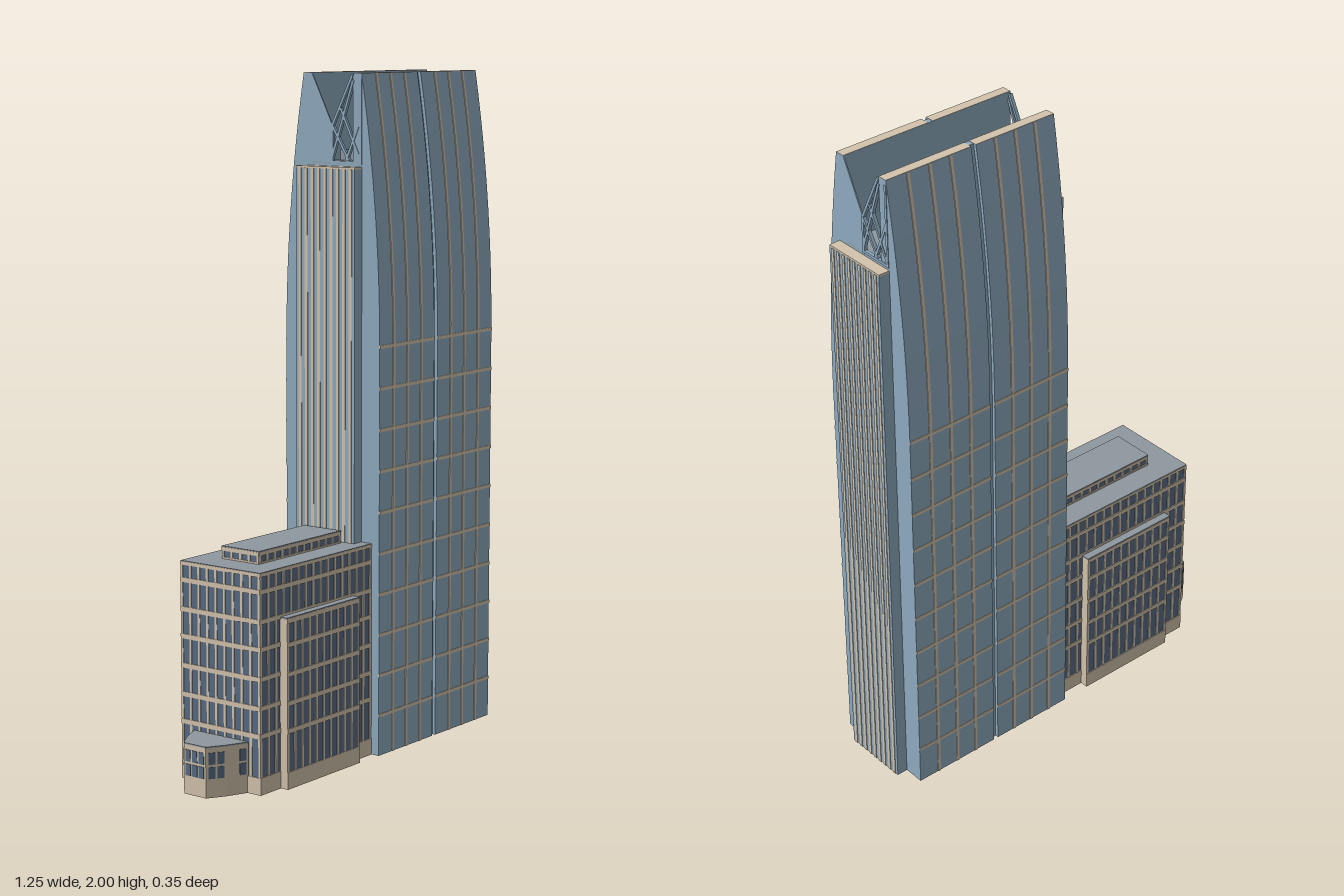
import * as THREE from 'three';

const mat = (name, color) => {
  const m = new THREE.MeshStandardMaterial({ color });
  m.name = name;
  return m;
};

export function createModel() {
  const glass = mat('blue glass', 0x8fabc0);
  const stone = mat('beige stone', 0xd2c3ac);
  const darkGlass = mat('dark glass', 0x586b84);
  const roofGrey = mat('roof grey', 0x8e979f);

  const model = new THREE.Group();
  const group = (name, parent = model) => {
    const g = new THREE.Group();
    g.name = name;
    parent.add(g);
    return g;
  };
  const add = (parent, name, geo, m) => {
    const mesh = new THREE.Mesh(geo, m);
    mesh.name = name;
    parent.add(mesh);
    return mesh;
  };
  // Box given by its limits
  const box = (parent, name, m, x0, x1, y0, y1, z0, z1) => {
    const mesh = add(parent, name, new THREE.BoxGeometry(x1 - x0, y1 - y0, z1 - z0), m);
    mesh.position.set((x0 + x1) / 2, (y0 + y1) / 2, (z0 + z1) / 2);
    return mesh;
  };
  // Outline in (z, y) extruded from x0 to x1
  const slab = (parent, name, m, pts, x0, x1) => {
    const shape = new THREE.Shape(pts.map(([z, y]) => new THREE.Vector2(-z, y)));
    const geo = new THREE.ExtrudeGeometry(shape, { depth: x1 - x0, bevelEnabled: false });
    geo.rotateY(Math.PI / 2).translate(x0, 0, 0);
    return add(parent, name, geo, m);
  };

  // ---- Tower: straight sides that curve inward above y = 1.2
  const X0 = 0.01, X1 = 0.585, MID = 0.291, ROOF = 1.74, TOP = 2, FIN = 0.075;
  const curve = (offset) => {
    const pts = [[0.172 + offset, 0]];
    for (let i = 0; i <= 14; i++) {
      const t = i / 14;
      pts.push([0.172 - 0.067 * t * t + offset, 1.2 + 0.8 * t]);
    }
    return pts;
  };
  const section = (offset) => {
    const half = [...curve(offset), [FIN, TOP], [FIN, ROOF]];
    return [...half, ...half.map(([z, y]) => [-z, y]).reverse()];
  };
  const tower = group('tower');
  const halves = [[X0, MID - 0.008], [MID + 0.008, X1]];
  halves.forEach(([a, b]) => slab(tower, 'towerHalf', glass, section(0), a, b));
  slab(tower, 'centreGroove', glass, section(-0.01), MID - 0.008, MID + 0.008);

  for (const s of [1, -1]) {
    // Vertical mullions that follow the curve
    const rib = [...curve(0.002), ...curve(-0.002).reverse()].map(([z, y]) => [z * s, y]);
    for (const x of [0.079, 0.148, 0.217, 0.37, 0.44, 0.513]) {
      slab(tower, 'towerMullion', stone, rib, x - 0.005, x + 0.005);
    }
    for (const [a, b] of halves) {
      for (let i = 1; i <= 10; i++) {
        const y = i * 0.1217, z = s * 0.172;
        box(tower, 'floorBand', stone, a, b, y - 0.005, y + 0.005, z - 0.002, z + 0.002);
      }
      const zc = s * 0.09;
      box(tower, 'finCap', stone, a, b, TOP - 0.003, TOP + 0.001, zc - 0.0148, zc + 0.0148);
    }
  }
  box(tower, 'towerRoof', roofGrey, X0, X1, ROOF, ROOF + 0.004, -FIN, FIN);
  box(tower, 'roofPlant', roofGrey, 0.12, 0.475, ROOF, ROOF + 0.035, -0.055, 0.055);

  // ---- Crown ends: a solid panel on one half, an open lattice on the other
  const bars = [
    [0, 1.85, 0.072, 1.995], [0, ROOF, 0, 1.85], [0.102, ROOF, 0.102, 1.985],
    [0, 1.745, 0.102, 1.745], [0, 1.76, 0.075, 1.98], [0.102, 1.75, 0.03, 1.9],
    [0, 1.85, 0.06, 1.75], [0.05, 1.75, 0.102, 1.87],
  ];
  for (const s of [1, -1]) {
    const crown = group('crownEnd', tower);
    const xe = s > 0 ? X1 : X0;
    slab(crown, 'crownPanel', glass,
      [[0, ROOF], [0, 1.85], [FIN * s, TOP], [FIN * s, ROOF]], xe - (s > 0 ? 0.004 : 0), xe + (s > 0 ? 0 : 0.004));
    for (const [za, ya, zb, yb] of bars) {
      const len = Math.hypot(zb - za, yb - ya);
      const bar = add(crown, 'latticeBar', new THREE.BoxGeometry(0.01, len, 0.008), glass);
      bar.position.set(xe - s * 0.003, (ya + yb) / 2, -s * (za + zb) / 2);
      bar.rotation.x = Math.atan2(-s * (zb - za), yb - ya);
    }
  }

  // ---- Striped bays on both ends of the tower
  for (const [a, b, face] of [[-0.025, X0, -0.025], [X1, 0.62, 0.62]]) {
    const bay = group('endBay');
    box(bay, 'bayBody', glass, a, b, 0, 1.727, -0.107, 0.107);
    box(bay, 'bayRoof', stone, a, b, 1.727, 1.733, -0.107, 0.107);
    for (let i = 0; i < 9; i++) {
      const z = -0.092 + i * 0.023;
      box(bay, 'bayStripe', stone, face - 0.002, face + 0.002, 0, 1.727, z - 0.005, z + 0.005);
    }
  }

  // ---- Low wing
  // Bands and mullions on a wall of given width, facing +z before turning
  const facade = (parent, x, z, turn, width, y0, y1, bands, cols) => {
    const g = group('facade', parent);
    g.position.set(x, 0, z);
    g.rotation.y = turn;
    const w = width / 2;
    for (const [a, b] of bands) box(g, 'wallBand', stone, -w, w, a, b, -0.003, 0.003);
    for (let i = 0; i <= cols; i++) {
      const c = -w + 0.004 + (i * (width - 0.008)) / cols;
      box(g, 'wallMullion', stone, c - 0.004, c + 0.004, y0, y1, -0.002, 0.002);
    }
  };
  const floors = [0.169, 0.249, 0.333, 0.418, 0.497, 0.582].map((y) => [y - 0.007, y + 0.007]);
  const wingBands = [[0, 0.05], ...floors, [0.625, 0.635]];
  const bayBands = [[0, 0.05], ...floors.slice(0, 4), [0.48, 0.494]];

  const wing = group('lowWing');
  box(wing, 'wingBody', darkGlass, -0.507, X0, 0, 0.633, -0.143, 0.143);
  box(wing, 'wingRoof', roofGrey, -0.509, X0, 0.633, 0.637, -0.145, 0.145);
  facade(wing, -0.507, 0, -Math.PI / 2, 0.29, 0, 0.635, wingBands, 9);
  facade(wing, X0 - 0.001, 0, Math.PI / 2, 0.29, 0, 0.635, wingBands, 9);
  box(wing, 'projectionBody', darkGlass, -0.417, -0.083, 0, 0.492, -0.168, 0.168);
  box(wing, 'projectionRoof', roofGrey, -0.42, -0.08, 0.492, 0.497, -0.17, 0.17);
  for (const s of [1, -1]) {
    const turn = s > 0 ? 0 : Math.PI;
    facade(wing, -0.25, s * 0.143, turn, 0.518, 0, 0.635, wingBands, 15);
    facade(wing, -0.25, s * 0.168, turn, 0.338, 0, 0.494, bayBands, 10);
    for (const x of [-0.417, -0.083]) {
      box(wing, 'projectionCorner', stone, x - 0.002, x + 0.002, 0, 0.494, s * 0.157 - 0.013, s * 0.157 + 0.013);
    }
  }

  // Rooftop storey of the wing
  const storey = group('wingRooftop', wing);
  const storeyBands = [[0.635, 0.642], [0.66, 0.671]];
  box(storey, 'storeyBody', darkGlass, -0.416, -0.04, 0.635, 0.67, -0.066, 0.066);
  box(storey, 'storeyRoof', roofGrey, -0.418, -0.038, 0.67, 0.674, -0.068, 0.068);
  for (const s of [1, -1]) {
    facade(storey, -0.228, s * 0.066, s > 0 ? 0 : Math.PI, 0.378, 0.635, 0.67, storeyBands, 11);
    facade(storey, -0.228 + s * 0.188, 0, (s * Math.PI) / 2, 0.134, 0.635, 0.67, storeyBands, 4);
  }

  // ---- Tapered entrance pavilion
  const pavilion = group('pavilion');
  const side = [[-0.507, 0.1], [-0.572, 0.071], [-0.622, 0.04]];
  const outline = [...side, ...side.map(([x, z]) => [x, -z]).reverse()];
  const prism = (name, m, y0, y1) => {
    const shape = new THREE.Shape(outline.map(([x, z]) => new THREE.Vector2(x, -z)));
    const geo = new THREE.ExtrudeGeometry(shape, { depth: y1 - y0, bevelEnabled: false });
    geo.rotateX(-Math.PI / 2).translate(0, y0, 0);
    add(pavilion, name, geo, m);
  };
  prism('pavilionWalls', stone, 0, 0.144);
  prism('pavilionRoof', roofGrey, 0.144, 0.148);
  // Window plate at fraction t along the wall from a to b
  const pane = (a, b, t, w) => {
    for (const y of [0.072, 0.113]) {
      const p = add(pavilion, 'pavilionWindow', new THREE.BoxGeometry(w, 0.034, 0.004), darkGlass);
      p.position.set(a[0] + (b[0] - a[0]) * t, y, a[1] + (b[1] - a[1]) * t);
      p.rotation.y = Math.atan2(-(b[1] - a[1]), b[0] - a[0]);
    }
  };
  for (const s of [1, -1]) {
    const [a, b, c] = side.map(([x, z]) => [x, z * s]);
    pane(a, b, 0.25, 0.02);
    pane(b, c, 0.25, 0.02);
    pane(b, c, 0.7, 0.02);
  }
  for (const t of [0.2, 0.5, 0.8]) pane([-0.622, 0.04], [-0.622, -0.04], t, 0.018);

  return model;
}
